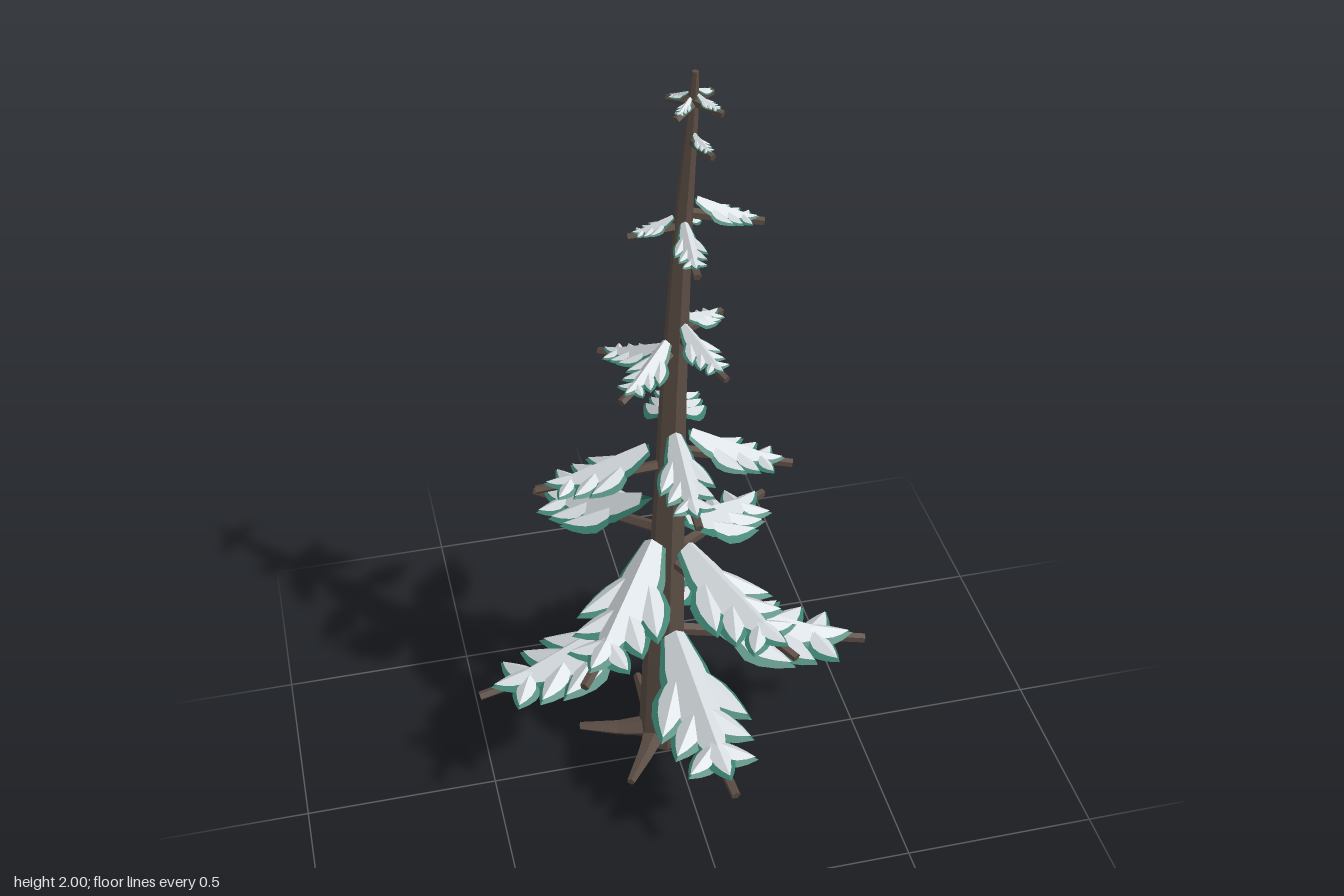
import * as THREE from 'three';
import { mergeGeometries } from 'three/addons/utils/BufferGeometryUtils.js';

const bark = new THREE.MeshStandardMaterial({ color: 0x5b4d44 });
const snow = new THREE.MeshStandardMaterial({ color: 0xd6dce0 });
const needles = new THREE.MeshStandardMaterial({ color: 0x3a8170, side: THREE.DoubleSide });
bark.name = 'bark';
snow.name = 'snow';
needles.name = 'needles';

// Unshared corners give flat facets
function facets(tris) {
  const g = new THREE.BufferGeometry();
  g.setAttribute('position', new THREE.Float32BufferAttribute(tris.flat(2), 3));
  g.computeVertexNormals();
  return g;
}

// Closed faceted limb through [x, y, z, radius] stations
function limb(stations, sides) {
  const pts = stations.map(s => new THREE.Vector3(s[0], s[1], s[2]));
  const dir = pts[pts.length - 1].clone().sub(pts[0]).normalize();
  const ref = Math.abs(dir.y) > 0.8 ? new THREE.Vector3(1, 0, 0) : new THREE.Vector3(0, 1, 0);
  const u = new THREE.Vector3().crossVectors(ref, dir).normalize();
  const v = new THREE.Vector3().crossVectors(dir, u);
  const at = (i, j) => {
    const a = (j / sides) * Math.PI * 2, r = stations[i][3];
    return pts[i].clone().addScaledVector(u, r * Math.cos(a)).addScaledVector(v, r * Math.sin(a)).toArray();
  };
  const tris = [], n = pts.length - 1;
  for (let j = 0; j < sides; j++) {
    for (let i = 0; i < n; i++) {
      tris.push([at(i, j), at(i, j + 1), at(i + 1, j + 1)], [at(i, j), at(i + 1, j + 1), at(i + 1, j)]);
    }
    tris.push([pts[0].toArray(), at(0, j + 1), at(0, j)], [pts[n].toArray(), at(n, j), at(n, j + 1)]);
  }
  return facets(tris);
}

// Folded leaf along +x: a central ridge with two sloping sides, and a flat underside if closed
function leaf(len, half, drop, lower, grow, profile, closed) {
  const n = profile.length - 1, tris = [];
  const ridge = i => [len * (i / n) * (1 + (grow - 1) * 0.2), -lower, 0];
  const edge = (i, s) => [ridge(i)[0], -lower - drop * profile[i] * grow, s * half * profile[i] * grow];
  for (let i = 0; i < n; i++) {
    tris.push([ridge(i), edge(i, 1), edge(i + 1, 1)], [ridge(i), edge(i + 1, 1), ridge(i + 1)]);
    tris.push([ridge(i), edge(i + 1, -1), edge(i, -1)], [ridge(i), ridge(i + 1), edge(i + 1, -1)]);
    if (closed) {
      tris.push([edge(i, 1), edge(i, -1), edge(i + 1, -1)], [edge(i, 1), edge(i + 1, -1), edge(i + 1, 1)]);
    }
  }
  return facets(tris);
}

// Leaves of one bough of unit length: [x, y, z, yaw, pitch, length, half width, drop]
const BLADE = [0.45, 0.85, 1, 0.85, 0.4];
const LEAF = [0.3, 0.8, 1, 0.85, 0.5, 0];
const leaves = [[0.71, 0.118, 0, 0, 0.27, 0.22, 0.05, 0.03]];
for (const s of [-1, 1]) {
  leaves.push([0.34, 0.23, s * 0.05, s * 0.6, 0.42, 0.34, 0.07, 0.04]);
  leaves.push([0.54, 0.16, s * 0.03, s * 0.75, 0.38, 0.26, 0.062, 0.035]);
  leaves.push([0.73, 0.1, s * 0.01, s * 1.0, 0.3, 0.2, 0.05, 0.03]);
}

// All leaves of a bough, on the main blade
function foliage(lower, bladeGrow, leafGrow, closed) {
  const blade = leaf(0.66, 0.115, 0.105, lower, bladeGrow, BLADE, closed);
  blade.rotateZ(-0.43).translate(0.18, 0.37, 0);
  const parts = leaves.map(([x, y, z, yaw, pitch, len, half, drop]) =>
    leaf(len, half, drop, lower, leafGrow, LEAF, closed).rotateZ(-pitch).rotateY(-yaw).translate(x, y, z));
  return mergeGeometries([blade, ...parts]);
}

// Trunk stations, bottom to top
const TRUNK = [
  [-0.025, 0, -0.065, 0.066], [-0.02, 0.3, -0.062, 0.057], [0, 0.85, -0.072, 0.04],
  [0.012, 1.15, -0.08, 0.034], [0.035, 1.6, -0.083, 0.023], [0.055, 1.9, -0.072, 0.013], [0.06, 2, -0.07, 0.008],
];
function trunkAt(y) {
  const i = Math.max(1, TRUNK.findIndex(s => s[1] >= y));
  const a = TRUNK[i - 1], b = TRUNK[i], t = (y - a[1]) / (b[1] - a[1]);
  return [a[0] + (b[0] - a[0]) * t, a[2] + (b[2] - a[2]) * t];
}

// Bough tips [x, y, z], tier by tier
const TIPS = [
  [-0.52, 0.3, -0.02], [0.52, 0.3, 0], [0.05, 0.295, -0.455], [0.045, 0.275, 0.45],
  [-0.29, 0.645, -0.4], [0.325, 0.565, -0.35], [0.235, 0.565, 0.3], [-0.3, 0.585, 0.3],
  [-0.33, 0.875, -0.12], [0.3, 0.925, -0.015], [0.1, 0.935, -0.395], [0.005, 0.955, 0.215],
  [-0.14, 1.19, -0.23], [0.16, 1.28, -0.2], [-0.145, 1.235, 0.055], [0.1, 1.285, 0.09],
  [0.22, 1.61, -0.055], [0.09, 1.565, -0.195], [0.03, 1.57, 0.08], [-0.09, 1.585, -0.1],
  [0.085, 1.82, -0.005],
  [0.11, 1.915, -0.02], [0.005, 1.91, -0.025], [0.11, 1.92, -0.12], [0.01, 1.915, -0.125],
];

export function createModel() {
  const tree = new THREE.Group();
  tree.name = 'snowyPine';
  const add = (parent, name, geometry, material) => {
    const m = new THREE.Mesh(geometry, material);
    m.name = name;
    parent.add(m);
    return m;
  };

  add(tree, 'trunk', limb(TRUNK, 6), bark);

  // Five roots spread evenly around the foot
  for (let i = 0; i < 5; i++) {
    const a = 0.89 + (i * Math.PI * 2) / 5, c = Math.cos(a), s = Math.sin(a);
    const station = (d, y, r) => [-0.035 + c * d, y, -0.065 + s * d, r];
    add(tree, 'root', limb([station(0.02, 0.034, 0.032), station(0.11, 0.023, 0.021), station(0.215, 0.027, 0.011)], 5), bark);
  }

  // Boughs: bark stick, green needles and a snow cover
  const snowShape = foliage(0, 1, 1, false), needleShape = foliage(0.012, 1.3, 1.5, true);
  for (const [x, y, z] of TIPS) {
    const [tx, tz] = trunkAt(y);
    const L = Math.hypot(x - tx, z - tz);
    const bough = new THREE.Group();
    bough.name = 'bough';
    bough.position.set(tx, y, tz);
    bough.rotation.y = -Math.atan2(z - tz, x - tx);
    const r = 0.0085 + 0.008 * L;
    add(bough, 'stick', limb([[0, 0.18 * L, 0, r * 1.35], [L, 0, 0, r]], 5), bark);
    // Short boughs have relatively thick sticks, so their leaves sit higher
    const lift = Math.max(0, r - 0.022 * L);
    for (const m of [add(bough, 'needles', needleShape, needles), add(bough, 'snowCover', snowShape, snow)]) {
      m.scale.setScalar(L);
      m.position.y = lift;
    }
    tree.add(bough);
  }
  return tree;
}
